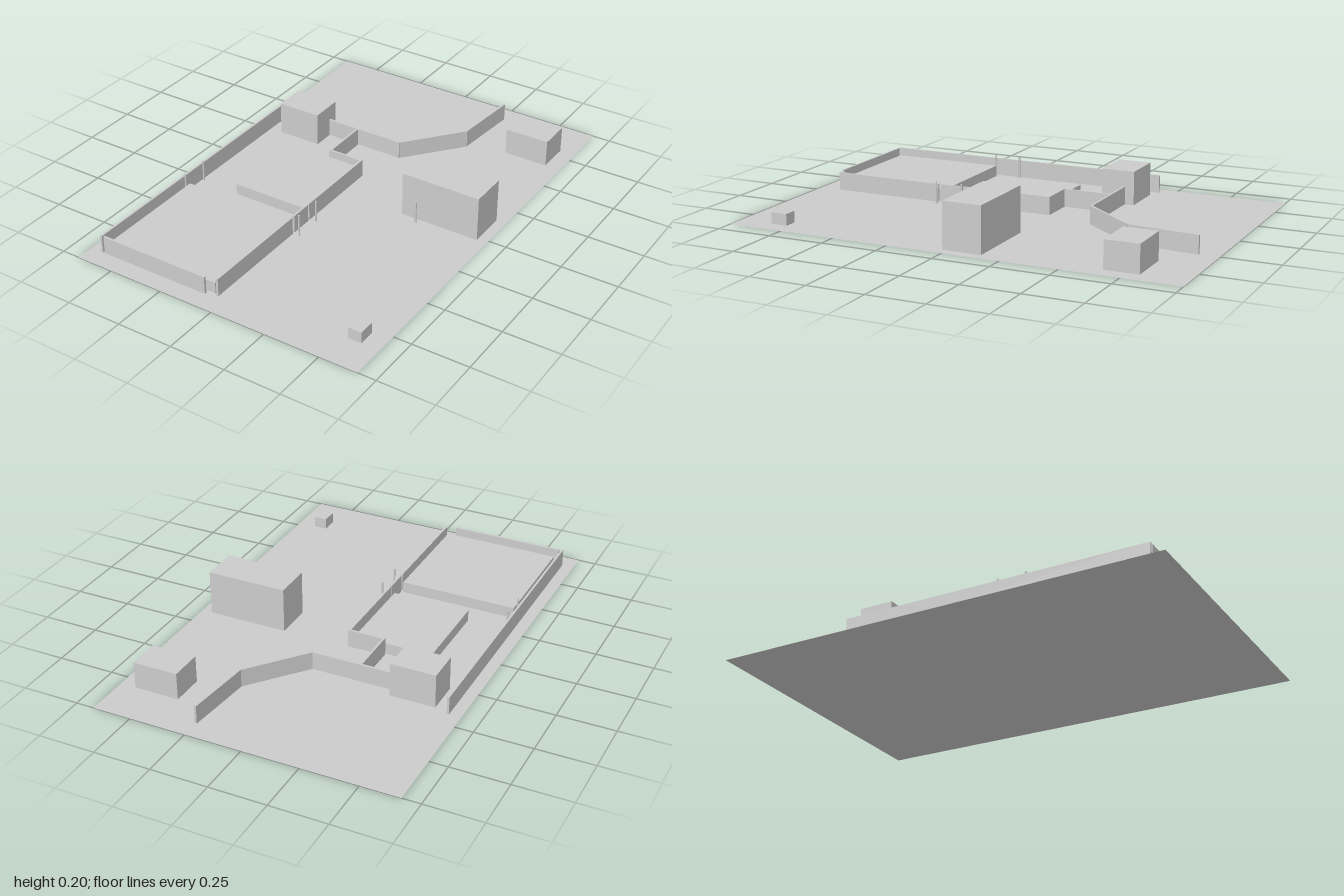
import * as THREE from 'three';

const grey = new THREE.MeshStandardMaterial({ color: 0xcccccc });

// Box standing on the ground, given by its extents in x and z
function block(name, x0, x1, z0, z1, height) {
  const mesh = new THREE.Mesh(new THREE.BoxGeometry(x1 - x0, height, z1 - z0), grey);
  mesh.position.set((x0 + x1) / 2, height / 2, (z0 + z1) / 2);
  mesh.name = name;
  return mesh;
}

// Thin upright wall between two ground points
function wall(name, [x0, z0], [x1, z1]) {
  const length = Math.hypot(x1 - x0, z1 - z0);
  const mesh = new THREE.Mesh(new THREE.BoxGeometry(length, 0.08, 0.01), grey);
  mesh.position.set((x0 + x1) / 2, 0.04, (z0 + z1) / 2);
  mesh.rotation.y = -Math.atan2(z1 - z0, x1 - x0);
  mesh.name = name;
  return mesh;
}

export function createModel() {
  const model = new THREE.Group();
  model.name = 'siteModel';

  // Ground sheet
  const ground = new THREE.Mesh(
    new THREE.PlaneGeometry(1.34, 2).rotateX(-Math.PI / 2),
    new THREE.MeshStandardMaterial({ color: 0xcccccc, side: THREE.DoubleSide })
  );
  ground.name = 'ground';
  model.add(ground);

  // Buildings
  model.add(
    block('mainBuilding', 0.265, 0.625, -0.152, 0.019, 0.2),
    block('cornerBuilding', -0.55, -0.35, -0.408, -0.259, 0.15),
    block('backBuilding', 0.4, 0.6, -0.803, -0.655, 0.12),
    block('smallHut', 0.53, 0.59, 0.773, 0.847, 0.05)
  );

  // Raised platforms inside the enclosure
  model.add(
    block('backPlatform', -0.413, -0.062, -0.129, 0.272, 0.05),
    block('frontPlatform', -0.583, -0.057, 0.376, 0.894, 0.05)
  );

  // Straight enclosure walls, with gaps for the gateways
  model.add(
    wall('outerWall', [-0.613, -0.43], [-0.613, 0.92]),
    wall('frontWall', [-0.6, 0.915], [-0.09, 0.915]),
    wall('innerWallFront', [-0.042, 0.392], [-0.042, 0.902]),
    wall('innerWallMiddle', [-0.042, 0.278], [-0.042, 0.379]),
    wall('innerWallBack', [-0.042, -0.14], [-0.042, 0.27]),
    wall('stepWall', [-0.2, -0.14], [-0.037, -0.14]),
    wall('linkWall', [-0.2, -0.362], [-0.2, -0.135])
  );

  // Bent wall running from the corner building to the back
  const bends = [[-0.35, -0.362], [0.02, -0.362], [0.222, -0.608], [0.25, -0.915]];
  for (let i = 0; i < bends.length - 1; i++) {
    model.add(wall('bentWall' + (i + 1), bends[i], bends[i + 1]));
  }

  // Gate posts in two pairs, and one by the main building
  const posts = [[-0.597, 0.262], [-0.597, 0.387], [-0.008, 0.262], [-0.008, 0.387], [0.345, 0.042]];
  posts.forEach(([x, z], i) => {
    const post = new THREE.Mesh(new THREE.CylinderGeometry(0.004, 0.004, 0.1, 12), grey);
    post.position.set(x, 0.05, z);
    post.name = 'post' + (i + 1);
    model.add(post);
  });

  return model;
}
